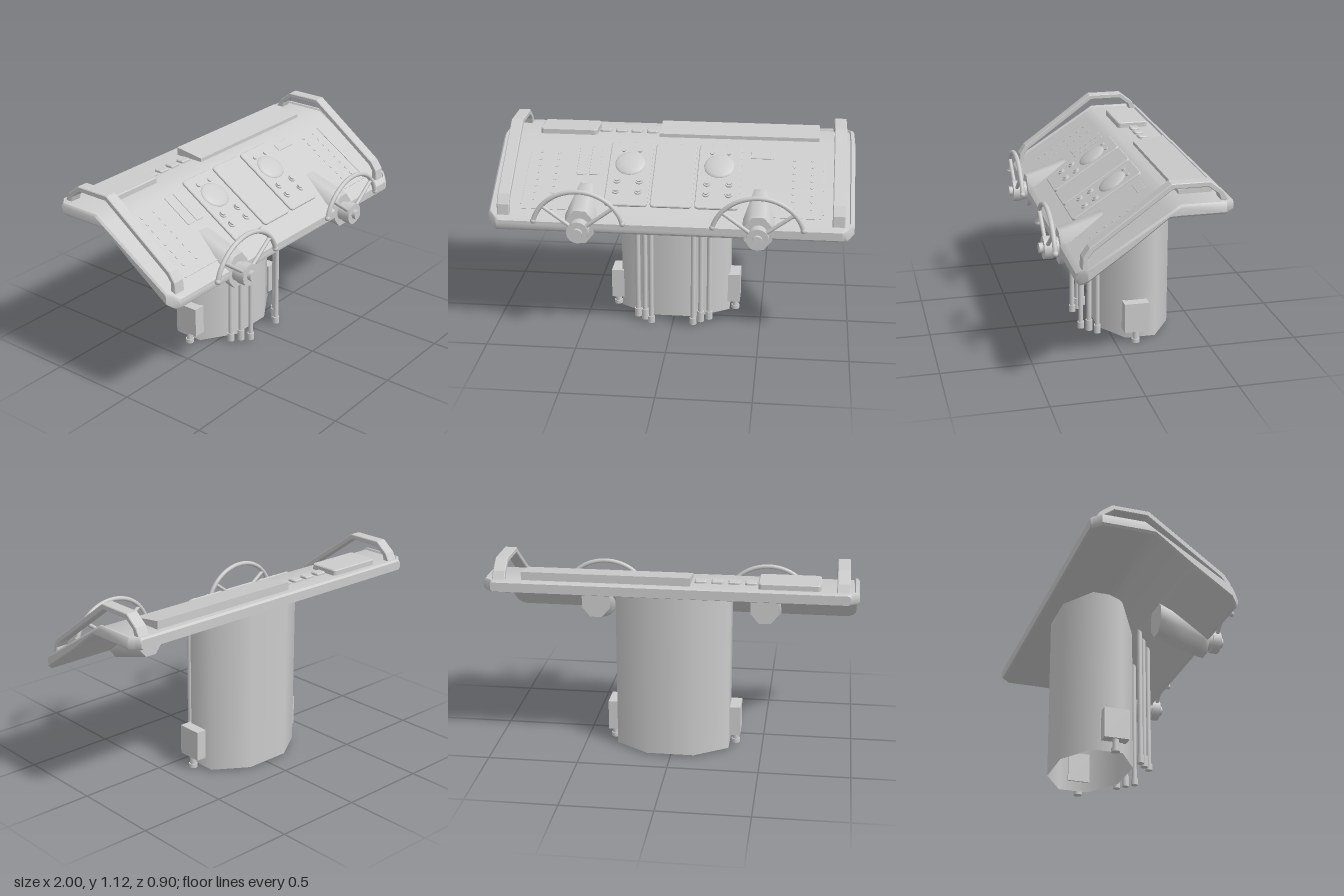
import * as THREE from 'three';
import { toCreasedNormals } from 'three/addons/utils/BufferGeometryUtils.js';

const mat = new THREE.MeshStandardMaterial({ color: 0xcccccc });
const openMat = new THREE.MeshStandardMaterial({ color: 0xcccccc, side: THREE.DoubleSide });
const SLOPE = 0.641, TILT = Math.atan(SLOPE), BEND = -0.165, RECESS = 0.01;
const deckY = z => (z < BEND ? 1.02 : 1.02 - SLOPE * (z - BEND));

function add(parent, name, geo, x = 0, y = 0, z = 0, material = mat) {
  const m = new THREE.Mesh(geo, material);
  m.name = name;
  m.position.set(x, y, z);
  parent.add(m);
  return m;
}

// Put a part on the recessed sloping face: plan position x, z
function onSlope(parent, name, geo, x, z, lift = 0) {
  const m = add(parent, name, geo, x, deckY(z) - RECESS + lift, z);
  m.rotation.x = TILT;
  return m;
}

// Join rings; each runs counterclockwise seen from the last ring's end
function loft(rings, crease = 0.5) {
  const n = rings[0].length, idx = [];
  for (let i = 0; i < rings.length - 1; i++) for (let j = 0; j < n; j++) {
    const k = (j + 1) % n, a = i * n + j, b = i * n + k;
    idx.push(a, b, b + n, a, b + n, a + n);
  }
  const last = (rings.length - 1) * n;
  for (let j = 1; j < n - 1; j++) idx.push(0, j + 1, j, last, last + j, last + j + 1);
  const g = new THREE.BufferGeometry();
  g.setAttribute('position', new THREE.Float32BufferAttribute(rings.flat(2), 3));
  g.setIndex(idx);
  return toCreasedNormals(g, crease);
}

// Thin plate with rounded corners lying flat, w along x and d along z
function plate(w, d, h, r = 0.02) {
  const a = w / 2, b = d / 2, s = new THREE.Shape();
  s.absarc(a - r, b - r, r, 0, Math.PI / 2);
  s.absarc(r - a, b - r, r, Math.PI / 2, Math.PI);
  s.absarc(r - a, r - b, r, Math.PI, Math.PI * 1.5);
  s.absarc(a - r, r - b, r, Math.PI * 1.5, Math.PI * 2);
  s.closePath();
  const bevel = Math.min(0.005, h / 3);
  return new THREE.ExtrudeGeometry(s, {
    depth: h - bevel, curveSegments: 4, bevelThickness: bevel, bevelSize: bevel, bevelOffset: -bevel, bevelSegments: 1,
  }).rotateX(-Math.PI / 2);
}

const cyl = (r, h, n = 12, r2 = r) => new THREE.CylinderGeometry(r2, r, h, n);

function addDeck(root) {
  // z, half width, top, bottom, depth of the face inside the rim
  const rows = [
    [-0.449, 0.955, 1.01, 0.96, 0], [-0.438, 0.96, 1.02, 0.955, 0],
    [-0.425, 0.97, 1.02, 0.955, 0], [-0.42, 0.975, 1.02, 0.955, RECESS], [-0.4, 1, 1.02, 0.955, RECESS],
    [BEND, 1, 1.02, 0.955, RECESS], [-0.11, 1, deckY(-0.11), 0.953, RECESS],
    [0.075, 1, deckY(0.075), 0.811, RECESS],
    [0.3, 1, deckY(0.3), 0.652, RECESS], [0.318, 0.983, deckY(0.318), 0.638, RECESS],
    [0.323, 0.978, deckY(0.323), 0.634, 0], [0.335, 0.965, deckY(0.335), 0.627, 0], [0.35, 0.95, 0.685, 0.64, 0],
  ];
  add(root, 'consoleDeck', loft(rows.map(([z, w, t, b, d]) => {
    const right = [[w - 0.012, b], [w, b + 0.012], [w, t - 0.012], [w - 0.01, t], [w - 0.022, t], [w - 0.027, t - d]];
    const left = right.map(([x, y]) => [-x, y]).reverse();
    return [...right, ...left].map(([x, y]) => [x, y, z]);
  }), 0.7));
}

function addPedestal(root) {
  // Eight-sided open tube
  const g = new THREE.CylinderGeometry(1, 1, 0.97, 8, 1, true)
    .rotateY(Math.PI / 8).scale(0.341, 1, 0.222).translate(0, 0.497, -0.15);
  // Trim the top to stay inside the deck
  const p = g.attributes.position;
  for (let i = 0; i < p.count; i++) {
    if (p.getY(i) > 0.5) p.setY(i, deckY(p.getZ(i)) - 0.03);
  }
  add(root, 'pedestal', g, 0, 0, 0, openMat);

  for (const s of [-1, 1]) {
    // Pipes rising in front of the pedestal
    [[0.12, 0.15], [0.16, 0.11], [0.205, 0.073]].forEach(([x, z], i) => {
      const top = deckY(z) - 0.025, foot = [0.05, 0.075, 0.06][i];
      add(root, 'pipe', cyl(0.014, top - 0.015), s * x, (top + 0.015) / 2, z);
      add(root, 'pipeCollar', cyl(0.02, foot - 0.012), s * x, (foot + 0.012) / 2, z);
    });
    // Junction box on each side
    add(root, 'junctionBox', new THREE.BoxGeometry(0.07, 0.17, 0.14), s * 0.34, 0.155, -0.115);
    add(root, 'junctionBoxPipe', cyl(0.018, 0.07), s * 0.347, 0.04, -0.115);
    add(root, 'junctionBoxCollar', cyl(0.024, 0.022), s * 0.347, 0.011, -0.115);
  }
}

function addHandrail(root, s) {
  const pts = [
    [0.32, 0.7], [0.315, 0.765], [0.28, 0.815], [-0.13, 1.115], [-0.33, 1.115], [-0.4, 1.06], [-0.425, 1.015],
    [-0.385, 1.015], [-0.375, 1.045], [-0.32, 1.087], [-0.14, 1.087], [0.26, 0.795], [0.287, 0.76], [0.287, 0.715],
  ];
  const shape = new THREE.Shape(pts.map(([z, y]) => new THREE.Vector2(-z, y)));
  const g = new THREE.ExtrudeGeometry(shape, {
    depth: 0.06, bevelThickness: 0.004, bevelSize: 0.004, bevelOffset: -0.004, bevelSegments: 1,
  }).rotateY(Math.PI / 2);
  add(root, 'handrail', g, s > 0 ? 0.885 : -0.945);
}

function addSteering(root, x) {
  const g = new THREE.Group();
  g.name = 'steeringAssembly';
  g.position.set(x, 0.66, 0);
  root.add(g);
  // Eight-sided column housing through the deck: z, centre height, half width, half height
  const rings = [[0.07, 0.09, 0.088, 0.105], [0.2, 0.048, 0.092, 0.102], [0.325, 0.01, 0.092, 0.101], [0.35, 0.003, 0.082, 0.1]]
    .map(([z, y, rx, ry]) => Array.from({ length: 8 }, (_, i) => {
      const a = (i + 0.5) * Math.PI / 4;
      return [Math.cos(a) * rx, y + Math.sin(a) * ry, z];
    }));
  add(g, 'columnHousing', loft(rings, 0.9));
  const turned = (r, h, n) => cyl(r, h, n).rotateX(Math.PI / 2);
  add(g, 'steeringShaft', turned(0.054, 0.05, 16), 0, 0, 0.36);
  add(g, 'wheelHub', turned(0.061, 0.05, 16), 0, 0, 0.405);
  add(g, 'hubCap', turned(0.028, 0.03, 12), 0, 0, 0.437);

  // Open-ended upper half of the wheel
  const arc = [];
  for (let i = 0; i <= 16; i++) {
    const a = 0.24 + (Math.PI - 0.48) * i / 16;
    arc.push(new THREE.Vector3(Math.cos(a) * 0.25, Math.sin(a) * 0.228, 0.41));
  }
  add(g, 'wheelRim', new THREE.TubeGeometry(new THREE.CatmullRomCurve3(arc), 40, 0.013, 8));
  for (const s of [-1, 1]) {
    add(g, 'rimEnd', new THREE.SphereGeometry(0.016, 12, 8), s * arc[0].x, arc[0].y, 0.41);
    const spoke = new THREE.LineCurve3(new THREE.Vector3(s * 0.04, 0.03, 0.41), new THREE.Vector3(s * 0.195, 0.143, 0.41));
    add(g, 'wheelSpoke', new THREE.TubeGeometry(spoke, 1, 0.011, 8));
  }
}

function addInstruments(root) {
  const len = 0.375 / Math.cos(TILT);
  onSlope(root, 'centreScreen', plate(0.23, len, 0.012), 0, 0.053);
  for (const s of [-1, 1]) {
    const x = s * 0.25;
    onSlope(root, 'gaugePanel', plate(0.24, len, 0.012), x, 0.053);
    // Low domed dial
    const dome = new THREE.SphereGeometry(0.087, 24, 6, 0, Math.PI * 2, 0, Math.PI / 2).scale(1, 0.22, 0.95);
    onSlope(root, 'dial', dome, x, 0, 0.012);
    for (const dx of [-1, 1]) {
      onSlope(root, 'smallKnob', cyl(0.012, 0.024, 10), x + dx * 0.047, -0.078, 0.01);
      for (const z of [0.105, 0.165]) {
        onSlope(root, 'knobBase', cyl(0.023, 0.02, 12, 0.02), x + dx * 0.062, z, 0.011);
        onSlope(root, 'knob', cyl(0.015, 0.02, 10), x + dx * 0.062, z, 0.02);
      }
      // Columns of indicator studs
      for (let i = 0; i < 8; i++) {
        onSlope(root, 'indicatorStud', cyl(0.01, 0.004, 8), s * 0.715 + dx * 0.05, -0.065 + i * 0.04, 0.001);
      }
    }
    onSlope(root, 'trimStrip', new THREE.BoxGeometry(0.4, 0.006, 0.008), s * 0.62, 0.27);
    onSlope(root, 'sideStrip', new THREE.BoxGeometry(0.006, 0.006, 0.4), s * 0.83, 0.08);
  }
  // Vent pair on one side, label slot on the other
  for (const x of [-0.52, -0.45]) onSlope(root, 'vent', plate(0.055, 0.2, 0.004, 0.005), x, -0.02, 0.001);
  onSlope(root, 'labelSlot', plate(0.13, 0.05, 0.004, 0.005), 0.485, -0.085, 0.001);

  // Fittings on the flat shelf
  const shelf = 1.02 - RECESS;
  add(root, 'shelfPad', plate(0.33, 0.18, 0.032), -0.635, shelf, -0.3);
  for (let i = 0; i < 4; i++) add(root, 'shelfButton', plate(0.065, 0.055, 0.014, 0.012), -0.43 + i * 0.09, shelf, -0.3);
  const bar = [[-0.21, 1], [-0.21, 1.03], [-0.385, 1.055], [-0.385, 1]];
  add(root, 'shelfDisplay', loft([0.8, -0.11].map(x => bar.map(([z, y]) => [x, y, z])), 0.1));
}

export function createModel() {
  const root = new THREE.Group();
  root.name = 'controlConsole';
  addDeck(root);
  addPedestal(root);
  for (const s of [-1, 1]) {
    addHandrail(root, s);
    addSteering(root, s * 0.485);
  }
  addInstruments(root);
  return root;
}
